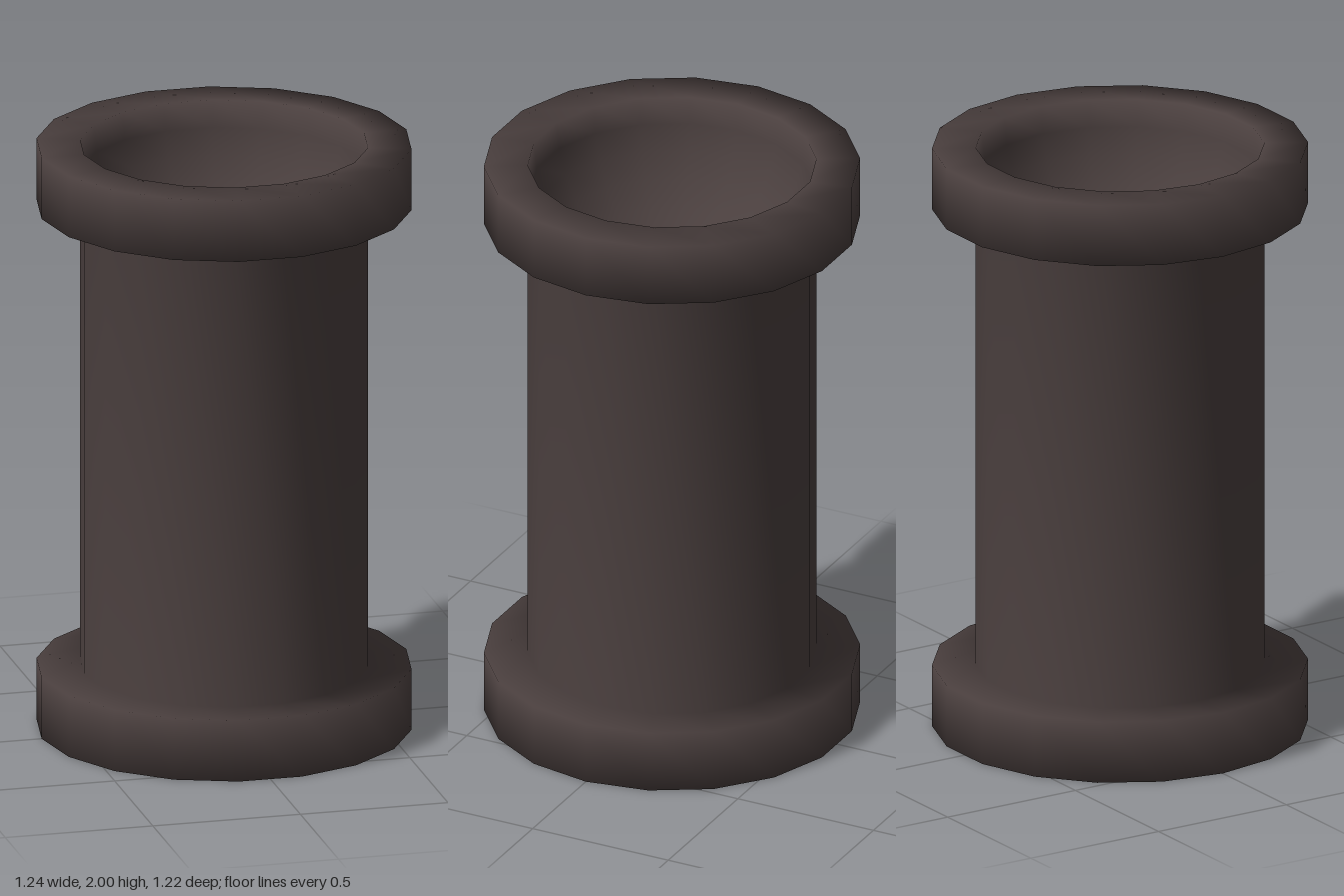
import * as THREE from 'three';
import { mergeVertices } from 'three/addons/utils/BufferGeometryUtils.js';

const SIDES = 18;
const BODY_R = 0.474, RIM_R = 0.618;
const RIM_H = 0.21, HEIGHT = 2;
const BOWL_STEPS = 8;

// Profile of the lower half: hemispherical hollow, flange, foot of the body
const lower = [];
for (let i = 0; i <= BOWL_STEPS; i++) {
  const a = (i / BOWL_STEPS) * Math.PI / 2;
  lower.push([BODY_R * Math.sin(a), BODY_R * Math.cos(a)]);
}
lower.push([RIM_R, 0], [RIM_R, RIM_H], [BODY_R, RIM_H]);
const upper = lower.map(([r, y]) => [r, HEIGHT - y]).reverse();
const profile = [...lower, ...upper].map(([r, y]) => new THREE.Vector2(r, y));
const BANDS = profile.length - 1;

// One welded surface, so shading flows smoothly between the parts
function buildSurface() {
  const lathe = new THREE.LatheGeometry(profile, SIDES, Math.PI / 2);
  lathe.deleteAttribute('uv');
  lathe.deleteAttribute('normal');
  const welded = mergeVertices(lathe, 1e-4);
  welded.computeVertexNormals();
  return welded;
}

// Takes the profile bands from first up to (not including) last as one part
function part(surface, first, last, name, material) {
  const all = surface.index.array;
  const index = [];
  for (let side = 0; side < SIDES; side++) {
    for (let band = first; band < last; band++) {
      const start = (side * BANDS + band) * 6;
      for (let k = 0; k < 6; k += 3) {
        const [a, b, c] = all.slice(start + k, start + k + 3);
        if (a !== b && b !== c && a !== c) index.push(a, b, c);
      }
    }
  }
  const geometry = surface.clone();
  geometry.setIndex(index);
  const mesh = new THREE.Mesh(geometry, material);
  mesh.name = name;
  return mesh;
}

export function createModel() {
  const darkIron = new THREE.MeshStandardMaterial({ color: 0x4a3f3e });
  darkIron.name = 'darkIron';

  const surface = buildSurface();
  const flangeEnd = BOWL_STEPS + 3;
  const pipe = new THREE.Group();
  pipe.name = 'pipe';
  pipe.add(
    part(surface, 0, BOWL_STEPS, 'bottomHollow', darkIron),
    part(surface, BOWL_STEPS, flangeEnd, 'bottomFlange', darkIron),
    part(surface, flangeEnd, flangeEnd + 1, 'body', darkIron),
    part(surface, flangeEnd + 1, flangeEnd + 4, 'topFlange', darkIron),
    part(surface, flangeEnd + 4, BANDS, 'topHollow', darkIron),
  );
  return pipe;
}
